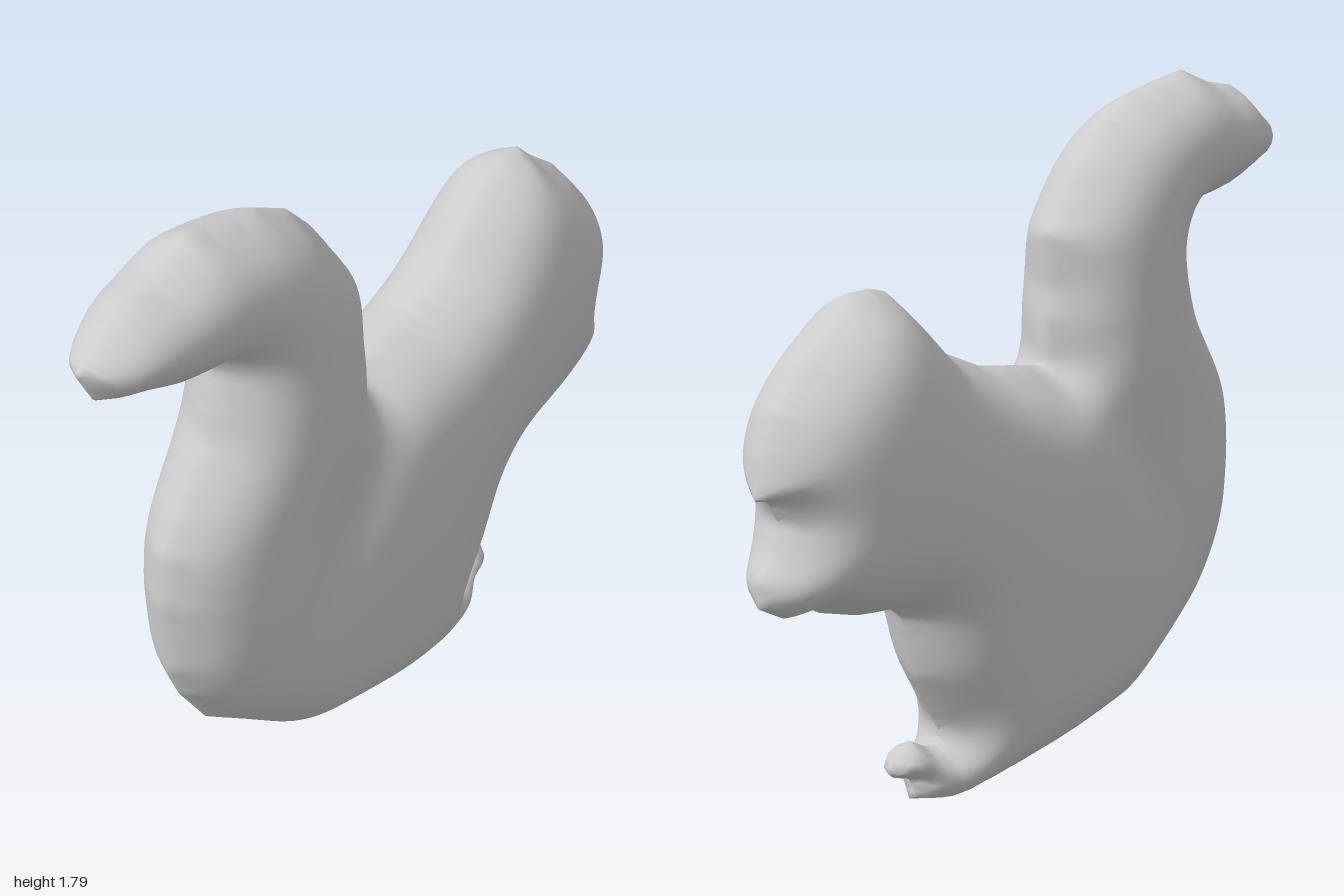
import * as THREE from 'three';
import { mergeVertices } from 'three/addons/utils/BufferGeometryUtils.js';

// Side outline of the squirrel (x, y), clockwise from the tail tip
const OUTLINE = [
  -1, 1.6, -0.9, 1.67, -0.85, 1.72, -0.74, 1.745, -0.62, 1.795, -0.47, 1.77, -0.39, 1.755,
  -0.27, 1.695, -0.18, 1.605, -0.065, 1.445, -0.07, 1.3, -0.05, 1.22, -0.035, 1.1, // tail top
  0.06, 1.12, 0.2, 1.15, 0.345, 1.22, 0.445, 1.325, 0.54, 1.415, 0.6, 1.435, 0.67, 1.435, // back
  0.725, 1.385, 0.835, 1.305, 0.93, 1.2, 0.97, 1.1, 1, 0.995, 0.95, 0.98, 0.92, 0.92, // face
  0.95, 0.845, 0.995, 0.79, 0.995, 0.72, 0.91, 0.67, 0.84, 0.68, 0.79, 0.65, 0.66, 0.605, // chin
  0.545, 0.59, 0.495, 0.55, 0.46, 0.38, 0.365, 0.205, 0.37, 0.16, // chest
  0.415, 0.165, 0.48, 0.205, 0.57, 0.15, 0.54, 0.12, 0.465, 0.09, 0.48, 0.04, 0.36, 0, // foot
  -0.07, 0.05, -0.3, 0.07, -0.36, 0.1, -0.495, 0.205, -0.62, 0.3, -0.715, 0.445, // base
  -0.755, 0.55, -0.77, 0.765, -0.755, 0.915, -0.71, 1.005, -0.585, 1.19, -0.54, 1.365, // rear
  -0.565, 1.42, -0.75, 1.44, -0.87, 1.485, -0.945, 1.5, // tail underside
];
const STEP = 0.02;
const { lerp, smoothstep, clamp } = THREE.MathUtils;

const edges = [];
for (let i = 0; i < OUTLINE.length; i += 2) {
  const j = (i + 2) % OUTLINE.length;
  edges.push([OUTLINE[i], OUTLINE[i + 1], OUTLINE[j], OUTLINE[j + 1]]);
}

function isInside(x, y) {
  let inside = false;
  for (const [ax, ay, bx, by] of edges) {
    if ((ay > y) !== (by > y) && x < ax + ((y - ay) / (by - ay)) * (bx - ax)) inside = !inside;
  }
  return inside;
}

function nearestOnSegment(x, y, [ax, ay, bx, by]) {
  const dx = bx - ax, dy = by - ay;
  const t = clamp(((x - ax) * dx + (y - ay) * dy) / (dx * dx + dy * dy), 0, 1);
  const px = ax + t * dx, py = ay + t * dy;
  return [px, py, Math.hypot(x - px, y - py)];
}

function nearestOnOutline(x, y) {
  let best = [0, 0, Infinity];
  for (const e of edges) {
    const p = nearestOnSegment(x, y, e);
    if (p[2] < best[2]) best = p;
  }
  return best;
}

// Smoothed distance to the outline, from the inverse-square pull of every edge
function depthInside(x, y) {
  let sum = 0;
  for (const [ax, ay, bx, by] of edges) {
    const ux = ax - x, uy = ay - y, vx = bx - x, vy = by - y;
    const cross = Math.abs(ux * vy - uy * vx);
    const length = Math.hypot(bx - ax, by - ay);
    const h = cross / length;
    if (h > 1e-5) sum += Math.atan2(cross, ux * vx + uy * vy) / h;
    else sum += length / Math.max(1e-6, Math.hypot(ux, uy) * Math.hypot(vx, vy));
  }
  return Math.PI / sum;
}

// Half thickness: a ridge at the rim that swells into a dome, thinner in the tail than the body
function thickness(x, y) {
  const tail = lerp(0.218, 0.25, smoothstep(y, 0.8, 1.3));
  const limit = lerp(tail, 0.262, smoothstep(x, -0.35, 0.05));
  const z = limit * (1 - Math.exp(-depthInside(x, y) / 0.08));
  // Soft valley where the tail meets the back
  const [, py, d] = nearestOnSegment(x, y, [-0.08, 1.09, -0.42, 0.45]);
  const valley = 0.028 * smoothstep(py, 0.4, 0.95) * Math.exp(-((d / 0.1) ** 2));
  return Math.max(z * 0.6, z - valley);
}

function inflatedGeometry() {
  const columns = Math.round(2.08 / STEP), rows = Math.round(1.88 / STEP);
  const grid = [];
  for (let j = 0; j <= rows; j++) {
    for (let i = 0; i <= columns; i++) {
      const x = -1.04 + i * STEP, y = -0.04 + j * STEP;
      const [px, py, d] = nearestOnOutline(x, y);
      const core = isInside(x, y) && d > STEP * 0.4;
      grid.push(core ? { x, y, z: thickness(x, y), core } : { x: px, y: py, z: 0, core });
    }
  }
  const positions = [];
  const triangle = (a, b, c) => {
    if (!a.core && !b.core && !c.core) {
      // Rim-only corners outside the outline need no face
      const mx = (a.x + b.x + c.x) / 3, my = (a.y + b.y + c.y) / 3;
      if (!isInside(mx, my)) return;
    }
    const area = (b.x - a.x) * (c.y - a.y) - (b.y - a.y) * (c.x - a.x);
    if (area < 1e-9) return;
    for (const p of [a, b, c]) positions.push(p.x, p.y, p.z);
    for (const p of [a, c, b]) positions.push(p.x, p.y, -p.z);
  };
  for (let j = 0; j < rows; j++) {
    for (let i = 0; i < columns; i++) {
      const k = j * (columns + 1) + i;
      const a = grid[k], b = grid[k + 1], c = grid[k + columns + 2], d = grid[k + columns + 1];
      if (!(a.core || b.core || c.core || d.core)) continue;
      // Choose the diagonal that joins the thicker pair of corners
      if (a.z + c.z >= b.z + d.z) {
        triangle(a, b, c);
        triangle(a, c, d);
      } else {
        triangle(a, b, d);
        triangle(b, c, d);
      }
    }
  }
  const raw = new THREE.BufferGeometry();
  raw.setAttribute('position', new THREE.Float32BufferAttribute(positions, 3));
  const geometry = mergeVertices(raw, 1e-5);
  geometry.computeVertexNormals();
  return geometry;
}

export function createModel() {
  const group = new THREE.Group();
  group.name = 'squirrel';
  const grey = new THREE.MeshStandardMaterial({ color: 0xcccccc, side: THREE.DoubleSide });
  grey.name = 'light grey';
  const body = new THREE.Mesh(inflatedGeometry(), grey);
  body.name = 'squirrelBody';
  group.add(body);
  return group;
}
